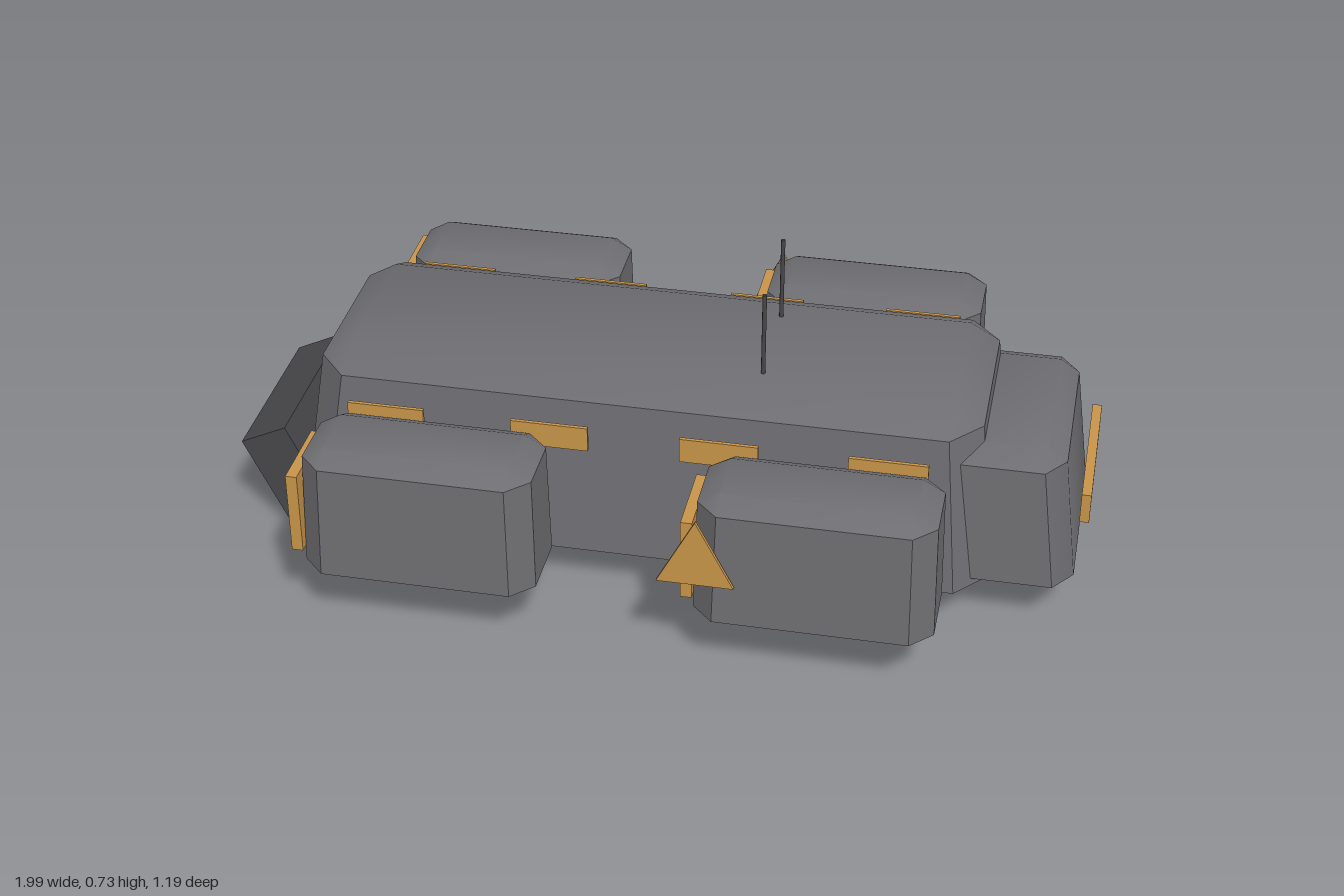
import * as THREE from 'three';
import { toCreasedNormals } from 'three/addons/utils/BufferGeometryUtils.js';
import { ConvexGeometry } from 'three/addons/geometries/ConvexGeometry.js';

const mat = (name, color) => new THREE.MeshStandardMaterial({ name, color });

// Box with chamfered edges that tapers from a lower to an upper outline.
// Each outline is [x0, x1, z0, z1]; bevel is [x, y, z].
function chamferBox(lower, upper, y0, y1, [bx, by, bz]) {
  const pts = [];
  const add = ([x0, x1, z0, z1], yCap, ySide) => {
    for (const [x, sx] of [[x0, 1], [x1, -1]]) {
      for (const [z, sz] of [[z0, 1], [z1, -1]]) {
        pts.push(
          new THREE.Vector3(x + sx * bx, yCap, z + sz * bz),
          new THREE.Vector3(x, ySide, z + sz * bz),
          new THREE.Vector3(x + sx * bx, ySide, z)
        );
      }
    }
  };
  add(lower, y0, y0 + by);
  add(upper, y1, y1 - by);
  return toCreasedNormals(new ConvexGeometry(pts), 0.7);
}

export function createModel() {
  const model = new THREE.Group();
  model.name = 'transport';
  const hull = mat('hull grey', 0x6e6e72);
  const dark = mat('dark grey', 0x47474a);
  const amber = mat('amber', 0xc8954a);

  const add = (name, geometry, material, x = 0, y = 0, z = 0) => {
    const mesh = new THREE.Mesh(geometry, material);
    mesh.name = name;
    mesh.position.set(x, y, z);
    model.add(mesh);
    return mesh;
  };
  const box = (w, h, d) => new THREE.BoxGeometry(w, h, d);

  // Main body and cab
  add('body', chamferBox([-0.84, 0.78, -0.313, 0.313], [-0.79, 0.745, -0.265, 0.265],
    0.07, 0.527, [0.07, 0.04, 0.08]), hull);
  add('cab', chamferBox([0.66, 0.973, -0.27, 0.27], [0.64, 0.935, -0.25, 0.25],
    0.097, 0.45, [0.045, 0.03, 0.06]), hull);
  add('windscreen', box(0.022, 0.074, 0.38), amber, 0.984, 0.298, 0);

  // Sloping ramp at the tail
  add('ramp', box(0.122, 0.255, 0.432), dark, -0.89, 0.147, 0).rotation.z = 0.445;

  const triangle = new THREE.Shape([
    new THREE.Vector2(-0.086, 0), new THREE.Vector2(0.086, 0), new THREE.Vector2(0, 0.165),
  ]);
  const marker = new THREE.ExtrudeGeometry(triangle, { depth: 0.009, bevelEnabled: false });
  marker.translate(0, 0, -0.0045);

  for (const s of [1, -1]) {
    const side = s > 0 ? 'left' : 'right';
    const zRange = (a, b) => (s > 0 ? [a, b] : [-b, -a]);

    // Engine pods with amber plates on their rear ends
    for (const x of [-0.472, 0.422]) {
      add(side + 'Pod', chamferBox(
        [x - 0.268, x + 0.268, ...zRange(0.333, 0.587)],
        [x - 0.262, x + 0.262, ...zRange(0.337, 0.575)],
        0.133, 0.463, [0.05, 0.028, 0.05]), hull);
      add(side + 'PodPlate', box(0.026, 0.2, 0.187), amber, x - 0.28, 0.298, s * 0.464);
    }

    // Window strips along the hull
    for (const x of [-0.6, -0.218, 0.17, 0.55]) {
      add(side + 'Window', box(0.178, 0.06, 0.009), amber, x, 0.427, s * 0.323);
    }

    add(side + 'Marker', marker, amber, 0.168, 0.263, s * 0.591);
    add(side + 'Antenna', new THREE.CylinderGeometry(0.005, 0.005, 0.25, 8), dark,
      0.235, 0.607, s * 0.127);
  }
  return model;
}
